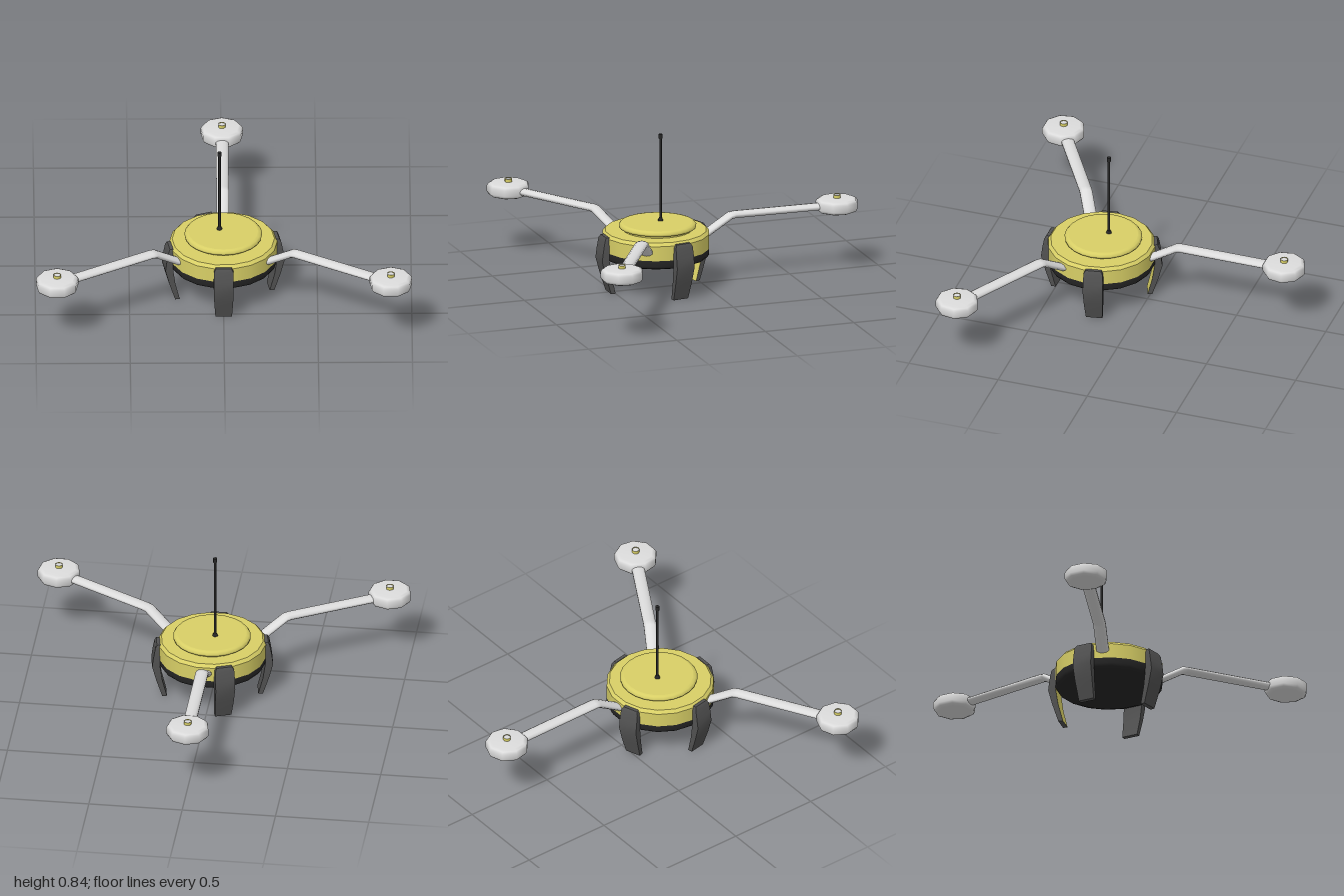
import * as THREE from 'three';

const mat = (name, color, side = THREE.FrontSide) => {
  const m = new THREE.MeshStandardMaterial({ color, side });
  m.name = name;
  return m;
};

const CENTRE_Z = 0.257;

export function createModel() {
  const yellow = mat('yellow', 0xd8cf66, THREE.DoubleSide);
  const black = mat('black', 0x262626);
  const darkGrey = mat('darkGrey', 0x525252);
  const lightGrey = mat('lightGrey', 0xdcdcdc);

  const drone = new THREE.Group();
  drone.name = 'drone';
  const hub = new THREE.Group();
  hub.name = 'hub';
  hub.position.z = CENTRE_Z;
  drone.add(hub);

  const add = (parent, name, geometry, material, x = 0, y = 0, z = 0) => {
    const mesh = new THREE.Mesh(geometry, material);
    mesh.name = name;
    mesh.position.set(x, y, z);
    parent.add(mesh);
    return mesh;
  };
  // Turned part from [radius, y] pairs, listed from bottom to top
  const turned = (profile, sides, start = 0) =>
    new THREE.LatheGeometry(profile.map(p => new THREE.Vector2(...p)), sides, start);

  // Round body: black underside, yellow shell, raised lid
  const half = Math.PI / 18;
  add(hub, 'underside', turned([[0, 0.17], [0.25, 0.17], [0.25, 0.17], [0.277, 0.18],
    [0.287, 0.195], [0.287, 0.225]], 18, half), black);
  add(hub, 'bodyShell', turned([[0.287, 0.225], [0.287, 0.305], [0.287, 0.305], [0.272, 0.322],
    [0.272, 0.322], [0, 0.322]], 18, half), yellow);
  add(hub, 'lid', turned([[0.185, 0.32], [0.185, 0.334], [0.185, 0.334], [0.205, 0.336],
    [0.207, 0.347], [0.198, 0.358], [0.185, 0.361], [0.185, 0.361], [0, 0.361]], 24),
    yellow, 0, 0, -0.01);

  // Antenna
  const ax = -0.02, az = 0.223 - CENTRE_Z;
  add(hub, 'antennaBase', new THREE.CylinderGeometry(0.009, 0.016, 0.018, 8), black, ax, 0.368, az);
  add(hub, 'antennaRod', new THREE.CylinderGeometry(0.007, 0.007, 0.46, 8), black, ax, 0.595, az);
  add(hub, 'antennaTip', new THREE.CylinderGeometry(0.011, 0.011, 0.024, 8), black, ax, 0.826, az);

  // Arms: oval tube that rises to a bend, then runs level; outward is +z
  const armPath = [[0.24, 0.27], [0.285, 0.272], [0.42, 0.356], [0.445, 0.36], [0.96, 0.357]];
  const armGeometry = new THREE.CylinderGeometry(1, 1, 1, 10, armPath.length - 1);
  const ap = armGeometry.attributes.position;
  for (let i = 0; i < ap.count; i++) {
    const row = Math.round((ap.getY(i) + 0.5) * (armPath.length - 1));
    const [r, y] = armPath[row];
    const tilt = row === 1 || row === 2 ? 0.28 : 0;
    const across = -ap.getZ(i) * 0.019;
    ap.setXYZ(i, ap.getX(i) * 0.035, y + across, r - across * tilt);
  }
  armGeometry.computeVertexNormals();

  const podProfile = [[0, 0.322], [0.09, 0.322], [0.107, 0.329], [0.115, 0.343],
    [0.115, 0.375], [0.107, 0.388], [0.092, 0.395], [0, 0.396]];
  for (let i = 0; i < 3; i++) {
    const angle = Math.PI + i * Math.PI * 2 / 3;
    add(hub, 'arm', armGeometry, lightGrey).rotation.y = angle;
    const pod = new THREE.Group();
    pod.name = 'motorPod';
    pod.position.set(1.024 * Math.sin(angle), 0, 1.024 * Math.cos(angle));
    hub.add(pod);
    add(pod, 'podHousing', turned(podProfile, 9, Math.PI), lightGrey);
    // Open shaft collar with a pale core
    add(pod, 'shaftCollar', new THREE.CylinderGeometry(0.02, 0.02, 0.018, 10, 1, true), yellow, 0, 0.404);
    add(pod, 'shaftCore', new THREE.CylinderGeometry(0.018, 0.018, 0.012, 10), lightGrey, 0, 0.404);
  }

  // Legs: curved blades, rows are [y, outer radius, inner radius, half width]
  const rows = [[0, 0.268, 0.243, 0.044], [0.1, 0.3, 0.268, 0.05], [0.185, 0.322, 0.28, 0.053],
    [0.24, 0.315, 0.28, 0.053], [0.295, 0.305, 0.278, 0.051], [0.312, 0.296, 0.278, 0.042]];
  const legGeometry = new THREE.BoxGeometry(2, 1, 1, 1, rows.length - 1, 1);
  const lp = legGeometry.attributes.position;
  for (let i = 0; i < lp.count; i++) {
    const [y, outer, inner, w] = rows[Math.round((lp.getY(i) + 0.5) * (rows.length - 1))];
    lp.setXYZ(i, lp.getX(i) * w, y, lp.getZ(i) > 0 ? outer : inner);
  }
  legGeometry.computeVertexNormals();
  for (const degrees of [0, 100, 200, 280]) {
    // The rear leg has a yellow inner face
    const inside = degrees === 200 ? yellow : darkGrey;
    const faces = [darkGrey, darkGrey, darkGrey, darkGrey, darkGrey, inside];
    add(hub, 'leg', legGeometry, faces).rotation.y = THREE.MathUtils.degToRad(degrees);
  }

  return drone;
}
